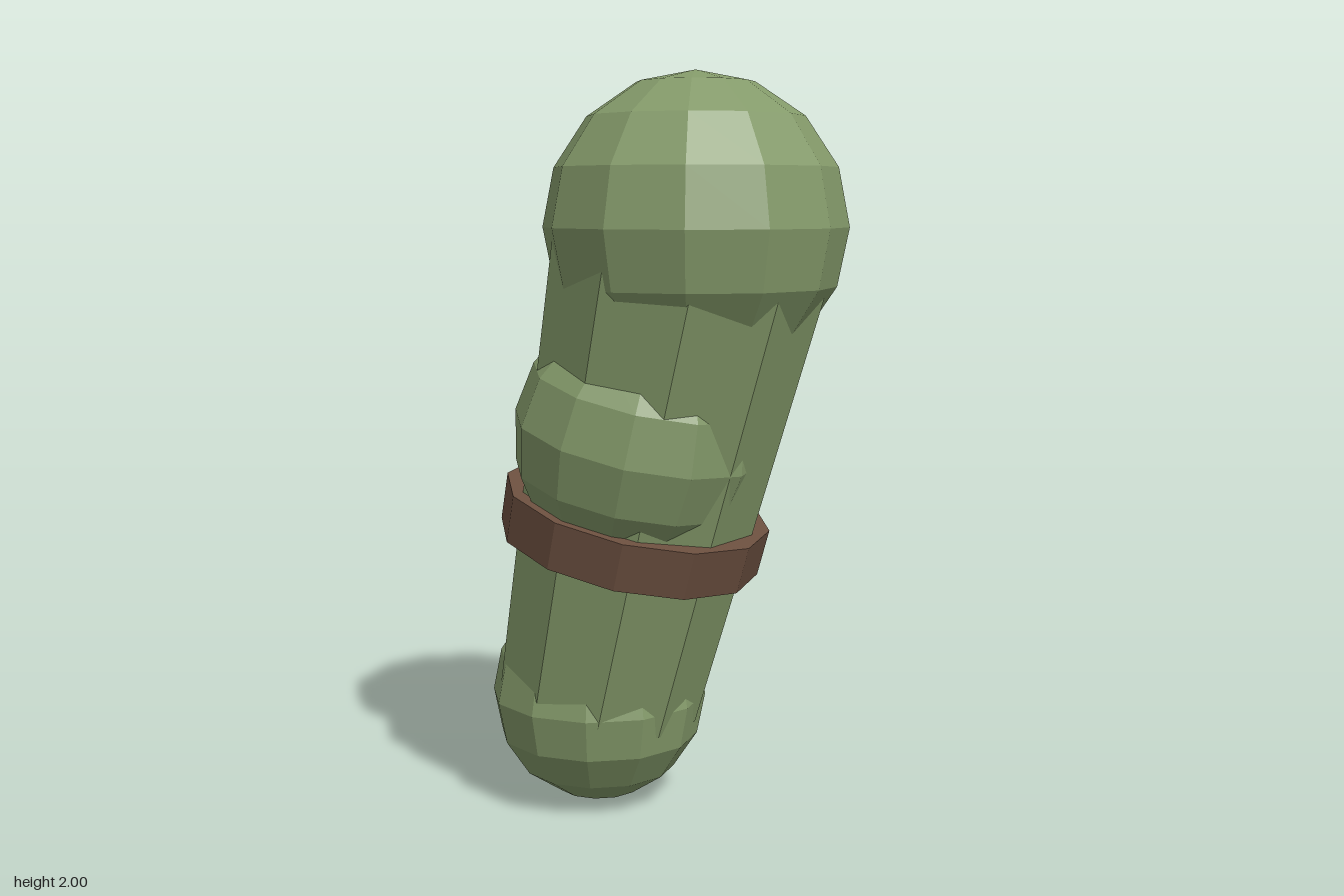
import * as THREE from 'three';

export function createModel() {
  const group = new THREE.Group();
  group.name = 'bentLimb';

  const green = new THREE.MeshStandardMaterial({ color: 0x849a6a, flatShading: true });
  green.name = 'mossGreen';
  const brown = new THREE.MeshStandardMaterial({ color: 0x6b4f3f, flatShading: true });
  brown.name = 'leatherBrown';

  // Leaning axis that the limb follows
  const bottom = new THREE.Vector3(-0.21, 0.3, 0);
  const top = new THREE.Vector3(0.11, 1.6, 0);
  const axis = top.clone().sub(bottom);
  const length = axis.length();
  const lean = new THREE.Quaternion().setFromUnitVectors(
    new THREE.Vector3(0, 1, 0), axis.clone().normalize());

  const add = (name, geometry, material, position) => {
    const mesh = new THREE.Mesh(geometry, material);
    mesh.name = name;
    mesh.position.copy(position);
    group.add(mesh);
    return mesh;
  };
  const addLeaning = (name, geometry, material, t, z = 0) => {
    const mesh = add(name, geometry, material, bottom.clone().lerp(top, t));
    mesh.position.z = z;
    mesh.quaternion.copy(lean);
    return mesh;
  };

  // Rounded ends
  add('topKnob', new THREE.SphereGeometry(0.4, 12, 8), green, top);
  add('bottomKnob', new THREE.SphereGeometry(0.3, 12, 8), green, bottom);

  // Tapered ten-sided shaft
  addLeaning('shaft', new THREE.CylinderGeometry(0.38, 0.288, length, 10), green, 0.5);

  // Muscle bulge pushed towards the front
  const bulge = addLeaning('bulge', new THREE.SphereGeometry(0.335, 12, 8), green, 0.577, 0.067);
  bulge.scale.y = 1.06;

  // Band around the shaft
  addLeaning('band', new THREE.CylinderGeometry(0.366, 0.36, 0.13, 12), brown, 0.379);

  return group;
}
